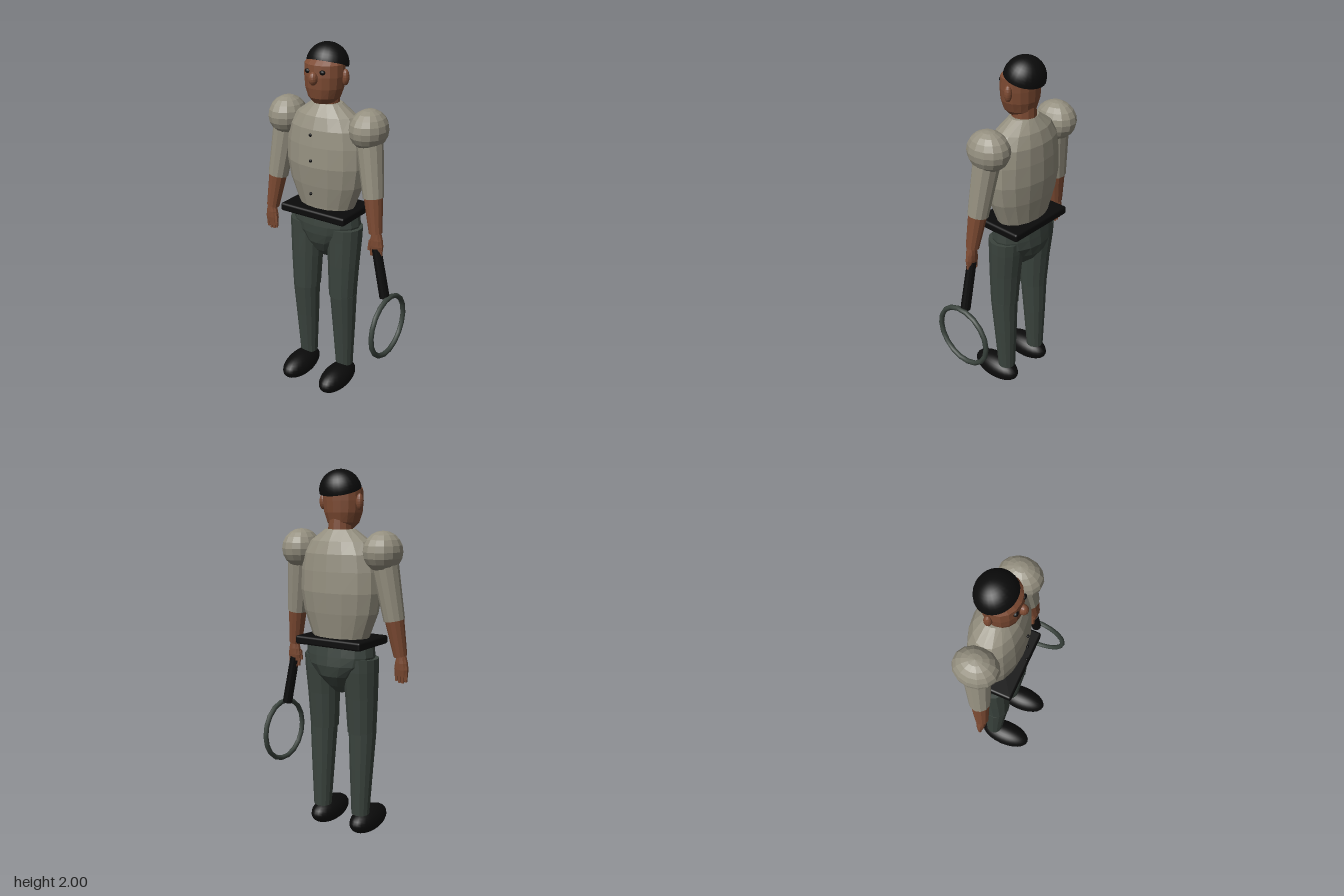
import * as THREE from 'three';
import { RoundedBoxGeometry } from 'three/addons/geometries/RoundedBoxGeometry.js';

const mat = (name, color) => {
  const m = new THREE.MeshStandardMaterial({ color });
  m.name = name;
  return m;
};

// Faceted copy of a geometry
function facet(geo) {
  const g = geo.index ? geo.toNonIndexed() : geo;
  g.computeVertexNormals();
  return g;
}

// Closed shape through elliptical rings [y, halfX, halfZ, centreZ], listed bottom to top
function loft(rings, sides) {
  const pos = [], idx = [];
  for (const [y, rx, rz, cz] of rings) {
    for (let i = 0; i < sides; i++) {
      const a = (i / sides) * Math.PI * 2;
      pos.push(Math.sin(a) * rx, y, cz + Math.cos(a) * rz);
    }
  }
  const last = rings.length - 1;
  for (let r = 0; r < last; r++) {
    for (let i = 0; i < sides; i++) {
      const j = (i + 1) % sides, a = r * sides + i, b = r * sides + j;
      idx.push(a, b, b + sides, a, b + sides, a + sides);
    }
  }
  for (let i = 1; i < sides - 1; i++) {
    idx.push(0, i + 1, i);
    idx.push(last * sides, last * sides + i, last * sides + i + 1);
  }
  const g = new THREE.BufferGeometry();
  g.setAttribute('position', new THREE.Float32BufferAttribute(pos, 3));
  g.setIndex(idx);
  return facet(g);
}

export function createModel() {
  const shirt = mat('shirt', 0x959080);
  const skin = mat('skin', 0x7c4a32);
  const trousers = mat('trousers', 0x3a433d);
  const black = mat('black', 0x0b0b0b);

  const model = new THREE.Group();
  model.name = 'figure';
  const body = new THREE.Group();
  body.name = 'body';
  body.position.x = -0.033;
  model.add(body);

  const add = (name, geo, material, parent = body) => {
    const m = new THREE.Mesh(geo, material);
    m.name = name;
    parent.add(m);
    return m;
  };
  const ball = (name, material, p, r, parent = body, smooth = false, w = 14, h = 10) => {
    const g = new THREE.SphereGeometry(1, w, h).scale(...r);
    const m = add(name, smooth ? g : facet(g), material, parent);
    m.position.set(...p);
    return m;
  };
  // Tapered limb from a (radius ra) down to b (radius rb)
  const limb = (name, material, a, ra, b, rb, parent = body, sides = 12) => {
    const A = new THREE.Vector3(...a), B = new THREE.Vector3(...b);
    const up = A.clone().sub(B);
    const m = add(name, facet(new THREE.CylinderGeometry(ra, rb, up.length(), sides)), material, parent);
    m.position.copy(A).add(B).multiplyScalar(0.5);
    m.quaternion.setFromUnitVectors(new THREE.Vector3(0, 1, 0), up.normalize());
    return m;
  };

  // Torso, belt and pelvis
  add('torso', loft([
    [1.09, 0.155, 0.1, -0.048], [1.14, 0.175, 0.108, -0.048], [1.26, 0.222, 0.13, -0.047],
    [1.37, 0.241, 0.143, -0.046], [1.48, 0.237, 0.139, -0.047], [1.57, 0.22, 0.13, -0.048],
    [1.635, 0.175, 0.108, -0.049], [1.695, 0.088, 0.065, -0.05],
  ], 16), shirt);
  add('belt', new RoundedBoxGeometry(0.413, 0.046, 0.29, 2, 0.012), black).position.set(0, 1.104, -0.04);
  add('pelvis', loft([
    [0.815, 0.03, 0.025, -0.045], [0.86, 0.07, 0.075, -0.048], [0.92, 0.125, 0.115, -0.053],
    [0.98, 0.19, 0.128, -0.053], [1.03, 0.207, 0.127, -0.049], [1.1, 0.2, 0.12, -0.048],
  ], 16), trousers);
  for (const y of [1.55, 1.41, 1.227]) ball('button', black, [0, y, 0.106], [0.009, 0.009, 0.007], body, true, 8, 6);

  // Neck and head
  limb('neck', skin, [0, 1.76, -0.05], 0.062, [0, 1.66, -0.05], 0.068);
  add('head', loft([
    [1.7, 0.055, 0.06, -0.022], [1.73, 0.086, 0.084, -0.024], [1.78, 0.105, 0.095, -0.025],
    [1.84, 0.111, 0.098, -0.025], [1.9, 0.109, 0.096, -0.028], [1.95, 0.08, 0.06, -0.05],
  ], 16), skin);
  ball('nose', skin, [0, 1.836, 0.077], [0.024, 0.034, 0.025]);
  const hair = add('hair', new THREE.SphereGeometry(1, 24, 10, 0, Math.PI * 2, 0, Math.PI / 2).scale(0.113, 0.107, 0.106), black);
  const hairBase = add('hairBase', new THREE.CircleGeometry(1, 24).rotateX(Math.PI / 2).scale(0.113, 1, 0.106), black);
  for (const h of [hair, hairBase]) {
    h.position.set(0, 1.894, -0.052);
    h.rotation.x = -0.31;
  }

  // Paired parts
  for (const s of [-1, 1]) {
    const side = s > 0 ? 'left' : 'right';
    ball(side + 'Ear', skin, [s * 0.114, 1.836, -0.045], [0.02, 0.042, 0.021]);
    ball(side + 'Eye', black, [s * 0.045, 1.868, 0.06], [0.016, 0.012, 0.012], body, true);

    // Arm with puffed shoulder and short sleeve
    ball(side + 'Shoulder', shirt, [s * 0.258, 1.587, -0.048], [0.1, 0.106, 0.119]);
    limb(side + 'Sleeve', shirt, [s * 0.262, 1.56, -0.045], 0.073, [s * 0.313, 1.235, -0.018], 0.056);
    limb(side + 'Forearm', skin, [s * 0.311, 1.255, -0.018], 0.052, [s * 0.343, 1.045, 0], 0.036);

    // Hand with fingers and thumb
    const hand = new THREE.Group();
    hand.name = side + 'Hand';
    hand.position.set(s * 0.35, 1.04, 0);
    body.add(hand);
    add('palm', loft([
      [-0.1, 0.037, 0.018, 0], [-0.065, 0.041, 0.024, 0], [-0.03, 0.036, 0.026, 0], [0.008, 0.026, 0.024, 0],
    ], 10), skin, hand);
    for (let i = 0; i < 4; i++) {
      const x = -0.028 + i * 0.0187;
      limb('finger', skin, [x, -0.085, 0], 0.011, [x, i % 3 ? -0.138 : -0.13, 0], 0.008, hand, 6);
    }
    limb('thumb', skin, [-s * 0.03, -0.04, 0.008], 0.012, [-s * 0.038, -0.095, 0.012], 0.009, hand, 6);

    // Leg and shoe
    add(side + 'Thigh', loft([
      [0.6, 0.079, 0.08, -0.025], [0.8, 0.09, 0.088, -0.031], [0.95, 0.098, 0.096, -0.04], [1.02, 0.1, 0.098, -0.042],
    ], 14), trousers).position.x = s * 0.124;
    const shin = add(side + 'Shin', loft([
      [0.13, 0.051, 0.05, -0.043], [0.4, 0.066, 0.066, -0.034], [0.61, 0.077, 0.078, -0.025],
    ], 14), trousers);
    shin.position.x = s * 0.128;
    ball(side + 'Shoe', black, [s * 0.131, 0.072, 0.036], [0.077, 0.072, 0.157], body, true, 24, 16);
  }

  // Hand-held hoop on a grip
  limb('hoopGrip', black, [0.318, 0.96, 0], 0.026, [0.378, 0.68, 0], 0.028, model);
  const hoop = add('hoop', new THREE.TorusGeometry(0.174, 0.0145, 8, 18).rotateY(Math.PI / 2), trousers, model);
  hoop.position.set(0.403, 0.508, 0);

  return model;
}
